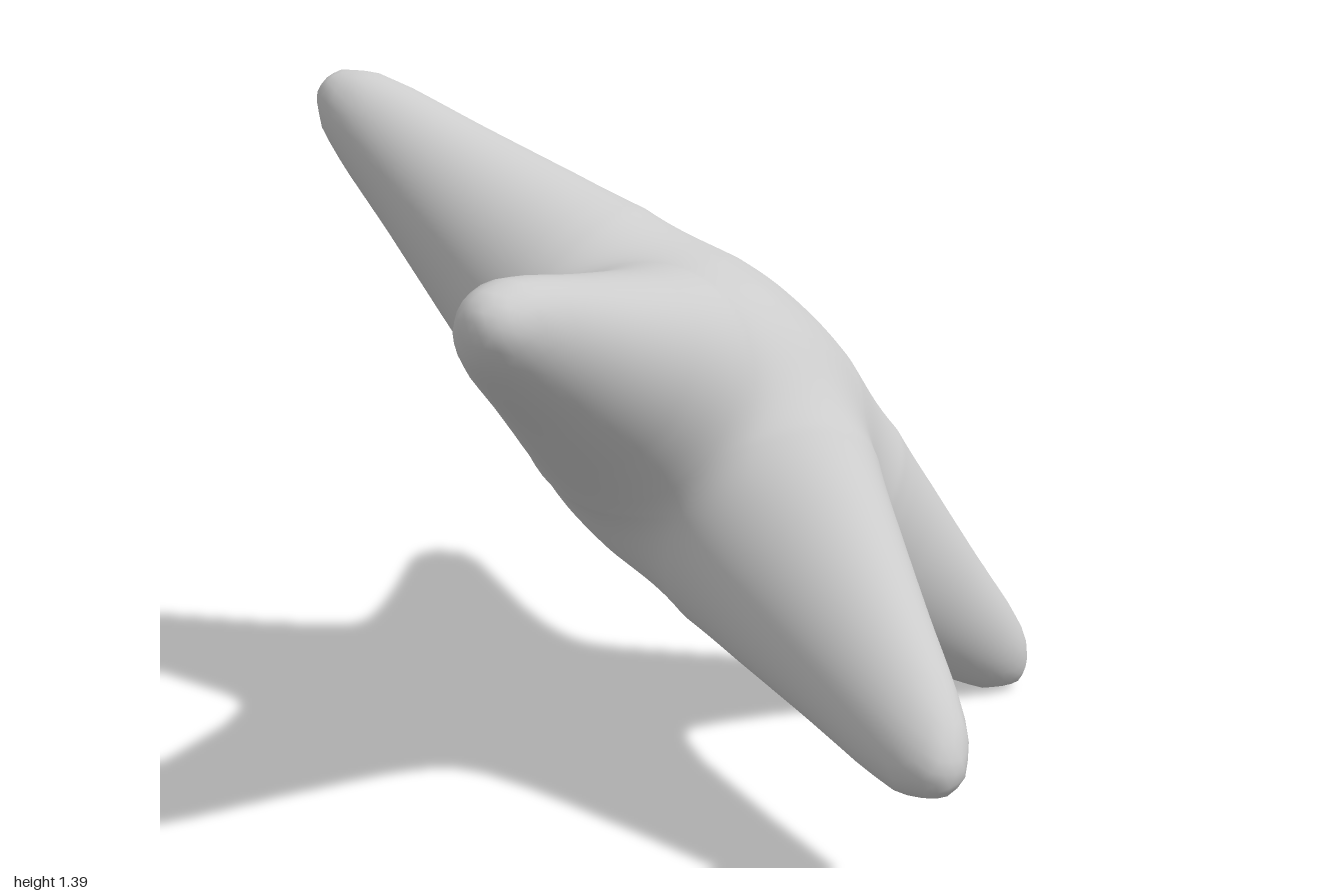
import * as THREE from 'three';
import { mergeVertices } from 'three/addons/utils/BufferGeometryUtils.js';

// Arm tips in the plane of the star (y is thickness), with each arm's breadth
const center = new THREE.Vector3(0, 0.03, 0.07);
const tips = [[1.01, 0.02, -0.23, 1.16], [0.59, -0.04, 1, 1.02], [-0.555, 0.04, 0.95, 1.14],
  [-1.035, 0.005, -0.27, 1.27], [-0.11, 0, -1, 1]];

// Arm profile: position along the arm, half width, half thickness
const profile = [[0, 0.25, 0.235], [0.15, 0.232, 0.255], [0.35, 0.197, 0.243], [0.5, 0.157, 0.205], [0.7, 0.114, 0.15],
  [0.85, 0.086, 0.112], [0.93, 0.07, 0.085], [0.98, 0.045, 0.045], [1, 0.002, 0.002]];
const BLEND = 0.05;      // softness of the webs between arms

const arms = tips.map(([x, y, z, breadth]) => {
  const dx = x - center.x, dz = z - center.z, length = Math.hypot(dx, dz);
  return { length, breadth, rise: y - center.y, dx: dx / length, dz: dz / length };
});

function armSize(t) {
  let i = 1;
  while (i < profile.length - 1 && profile[i][0] < t) i++;
  const [t0, w0, h0] = profile[i - 1], [t1, w1, h1] = profile[i];
  const f = (t - t0) / (t1 - t0);
  return [w0 + (w1 - w0) * f, h0 + (h1 - h0) * f];
}

// Rough distance from a tapered arm of oval section (negative inside)
function armDistance(arm, x, y, z) {
  const along = x * arm.dx + z * arm.dz;
  const across = x * arm.dz - z * arm.dx;
  const t = THREE.MathUtils.clamp(along / arm.length, 0, 1);
  const [w, h] = armSize(t);
  const behind = Math.min(along, 0);
  // broader arms widen gradually away from the centre
  const wide = w * (1 + (arm.breadth - 1) * Math.min(1, t * 2.5));
  const section = Math.hypot(across / wide, (y - arm.rise * t) / h, behind / w);
  return (section - 1) * w + Math.max(0, along - arm.length);
}

// Five arms melted into one body
function starDistance(x, y, z) {
  let sum = 0;
  for (const arm of arms) sum += Math.exp(-armDistance(arm, x, y, z) / BLEND);
  return -BLEND * Math.log(sum);
}

// Push every point of a sphere in or out to the surface of the star
function starGeometry() {
  const ball = new THREE.IcosahedronGeometry(1, 60);
  ball.deleteAttribute('normal');
  ball.deleteAttribute('uv');
  const geometry = mergeVertices(ball, 1e-4);
  const position = geometry.attributes.position;
  const v = new THREE.Vector3();
  for (let i = 0; i < position.count; i++) {
    v.fromBufferAttribute(position, i).normalize();
    let near = 0, far = 1.4;
    for (let step = 0; step < 22; step++) {
      const r = (near + far) / 2;
      if (starDistance(v.x * r, v.y * r, v.z * r) < 0) near = r;
      else far = r;
    }
    v.multiplyScalar(near).add(center);
    position.setXYZ(i, v.x, v.y, v.z);
  }
  geometry.computeVertexNormals();
  return geometry;
}

export function createModel() {
  const group = new THREE.Group();
  group.name = 'starfish';
  const body = new THREE.Mesh(starGeometry(), new THREE.MeshStandardMaterial({ color: 0xcccccc }));
  body.name = 'fiveArmedBody';
  // the whole star leans down to its left
  body.rotation.z = -0.73;
  body.position.set(0, 0.685, 0);
  group.add(body);
  return group;
}
